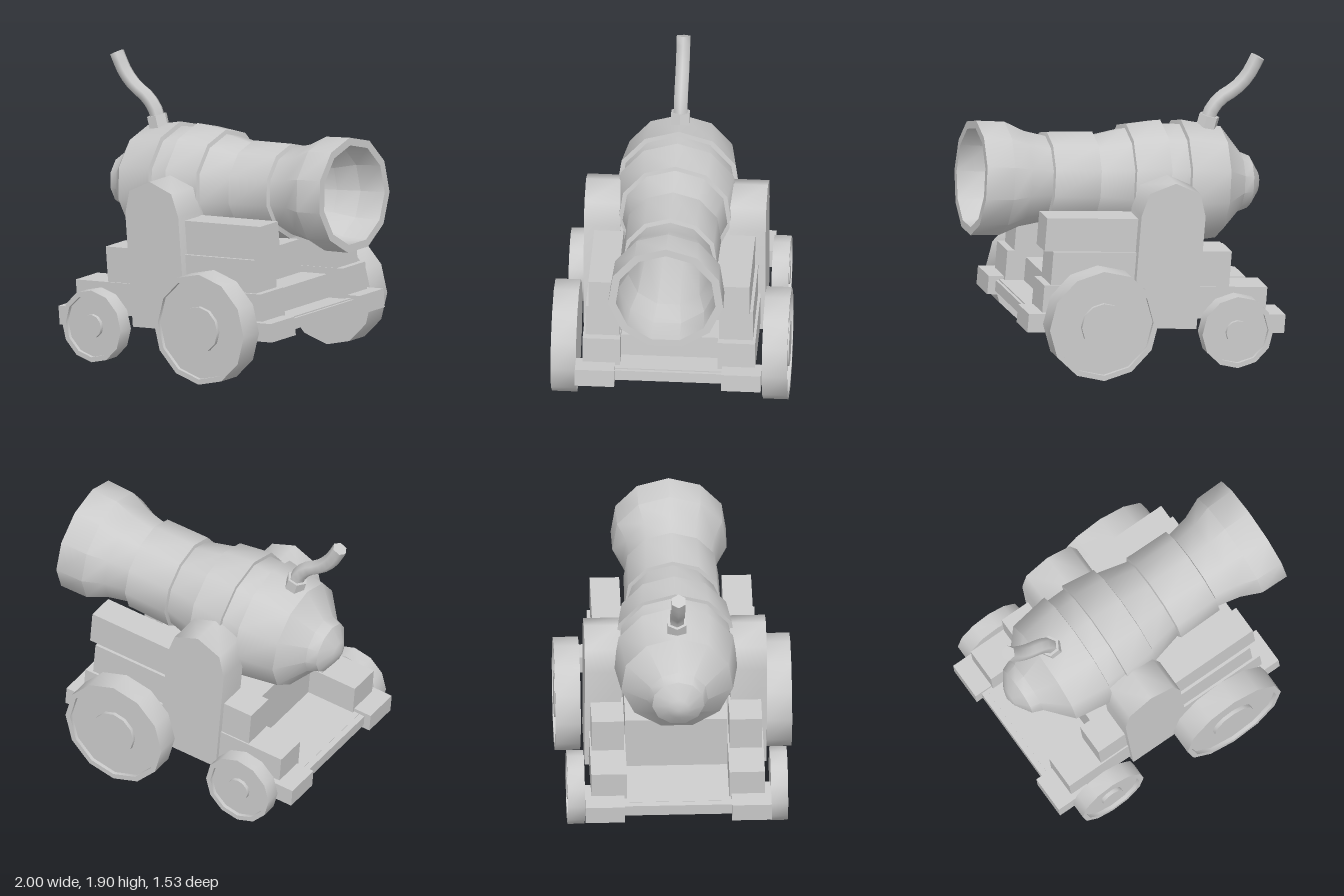
import * as THREE from 'three';
import { toCreasedNormals } from 'three/addons/utils/BufferGeometryUtils.js';

const TILT = 0.082; // carriage slope
const BARREL_TILT = 0.0925;

const material = new THREE.MeshStandardMaterial({ color: 0xcccccc });

function add(parent, name, geometry) {
  const mesh = new THREE.Mesh(geometry, material);
  mesh.name = name;
  parent.add(mesh);
  return mesh;
}

// Box given by its limits along each axis
function block(parent, name, x0, x1, y0, y1, z0, z1) {
  const geo = new THREE.BoxGeometry(x1 - x0, y1 - y0, z1 - z0);
  geo.translate((x0 + x1) / 2, (y0 + y1) / 2, (z0 + z1) / 2);
  return add(parent, name, geo);
}

function lathe(profile, sides) {
  const points = profile.map(([r, y]) => new THREE.Vector2(r, y));
  return toCreasedNormals(new THREE.LatheGeometry(points, sides), 0.59);
}

// Wheel with recessed disc and raised hub, outer face towards +z
function wheel(parent, name, x, y, r, z0, z1, rim, hub, side) {
  const geo = lathe([
    [0, z0], [r, z0], [r, z1], [r - rim, z1], [r - rim, z1 - 0.025],
    [hub, z1 - 0.025], [hub, z1], [0, z1],
  ], 12);
  geo.rotateX(Math.PI / 2);
  if (side < 0) geo.rotateY(Math.PI);
  geo.translate(x, y, 0);
  add(parent, name, geo);
}

function createBarrel() {
  const geo = lathe([
    // breech knob and rear bulge
    [0, 0], [0.07, 0.02], [0.17, 0.083], [0.196, 0.15], [0.364, 0.294], [0.405, 0.565],
    // neck and raised bands
    [0.375, 0.57], [0.378, 0.7], [0.402, 0.703], [0.37, 0.93], [0.342, 0.935],
    [0.29, 1.146], [0.314, 1.152], [0.309, 1.458], [0.281, 1.465],
    // flared muzzle
    [0.313, 1.615], [0.372, 1.749], [0.376, 1.939],
    // deep narrowing bore
    [0.325, 1.939], [0.315, 1.75], [0.265, 1.6], [0.225, 1.15],
    [0.2, 0.6], [0.19, 0.25], [0, 0.22],
  ], 11);
  geo.rotateZ(-Math.PI / 2).rotateX(-Math.PI / 2);
  geo.rotateZ(BARREL_TILT).translate(-0.957, 1.036, 0);
  return geo;
}

function createFuse(parent) {
  const fuse = new THREE.Group();
  fuse.name = 'fuse';
  parent.add(fuse);

  const collar = new THREE.CylinderGeometry(0.069, 0.069, 0.16, 6);
  collar.rotateY(Math.PI / 6).rotateZ(0.28).translate(-0.602, 1.43, 0);
  add(fuse, 'fuseCollar', toCreasedNormals(collar, 0.6));

  // Hexagonal cord swept along a wavy path
  const path = new THREE.CatmullRomCurve3([
    [-0.6, 1.43], [-0.635, 1.54], [-0.7, 1.615], [-0.8, 1.675], [-0.883, 1.76], [-0.947, 1.875],
  ].map(([x, y]) => new THREE.Vector3(x, y, 0)));
  const hexagon = new THREE.Shape();
  for (let i = 0; i < 6; i++) {
    const a = i * Math.PI / 3;
    const x = 0.05 * Math.sin(a), y = 0.05 * Math.cos(a);
    if (i === 0) hexagon.moveTo(x, y);
    else hexagon.lineTo(x, y);
  }
  const cord = new THREE.ExtrudeGeometry(hexagon, { steps: 10, extrudePath: path, bevelEnabled: false });
  add(fuse, 'fuseCord', toCreasedNormals(cord, 1.1));
}

// Upright cheek plate with a softly arched top
function createCheek() {
  const shape = new THREE.Shape([
    [-0.215, 0.283], [0.215, 0.283], [0.215, 1.03], [0.17, 1.18],
    [0, 1.25], [-0.17, 1.18], [-0.215, 1.03],
  ].map(([x, y]) => new THREE.Vector2(x - 0.133, y)));
  return toCreasedNormals(new THREE.ExtrudeGeometry(shape, { depth: 0.235, bevelEnabled: false }), 1.0);
}

export function createModel() {
  const model = new THREE.Group();
  model.name = 'cannon';

  add(model, 'barrel', createBarrel());
  createFuse(model);

  // Sloping carriage
  const carriage = new THREE.Group();
  carriage.name = 'carriage';
  carriage.rotation.z = TILT;
  model.add(carriage);

  block(carriage, 'floor', -0.85, 0.72, 0.343, 0.36, -0.36, 0.36);
  block(carriage, 'frontCrossBeam', 0.6, 0.74, 0.281, 0.352, -0.36, 0.36);
  block(carriage, 'rearCrossBeam', -0.89, -0.7, 0.283, 0.358, -0.36, 0.36);
  block(carriage, 'lowerBed', -0.47, 0.56, 0.355, 0.515, -0.33, 0.33);
  block(carriage, 'upperBed', -0.47, 0.35, 0.515, 0.73, -0.33, 0.33);

  // x0, x1, y0, y1, then inner and outer distance from the middle
  const sideBlocks = [
    ['frontTopBlock', 0, 0.694, 0.776, 0.996, 0.33, 0.52],
    ['frontMiddleBlock', 0, 0.64, 0.558, 0.776, 0.32, 0.54],
    ['frontLowerBlock', 0, 0.688, 0.345, 0.558, 0.315, 0.557],
    ['frontBeamEnd', 0.65, 0.79, 0.257, 0.379, 0.345, 0.6],
    ['rearTopBlock', -0.555, -0.3, 0.558, 0.79, 0.34, 0.55],
    ['rearLowerBlock', -0.81, -0.3, 0.345, 0.558, 0.33, 0.56],
    ['rearBeamEnd', -0.935, -0.69, 0.262, 0.384, 0.345, 0.6],
  ];

  for (const side of [1, -1]) {
    for (const [name, x0, x1, y0, y1, a, b] of sideBlocks) {
      block(carriage, name, x0, x1, y0, y1, Math.min(side * a, side * b), Math.max(side * a, side * b));
    }
    const cheek = add(carriage, 'cheekPlate', createCheek());
    cheek.position.z = side > 0 ? 0.352 : -0.587;

    wheel(model, 'frontWheel', 0.297, 0.368, 0.365, 0.6, 0.763, 0.035, 0.15, side);
    wheel(model, 'rearWheel', -0.613, 0.243, 0.238, 0.6, 0.71, 0.033, 0.077, side);
  }
  return model;
}
